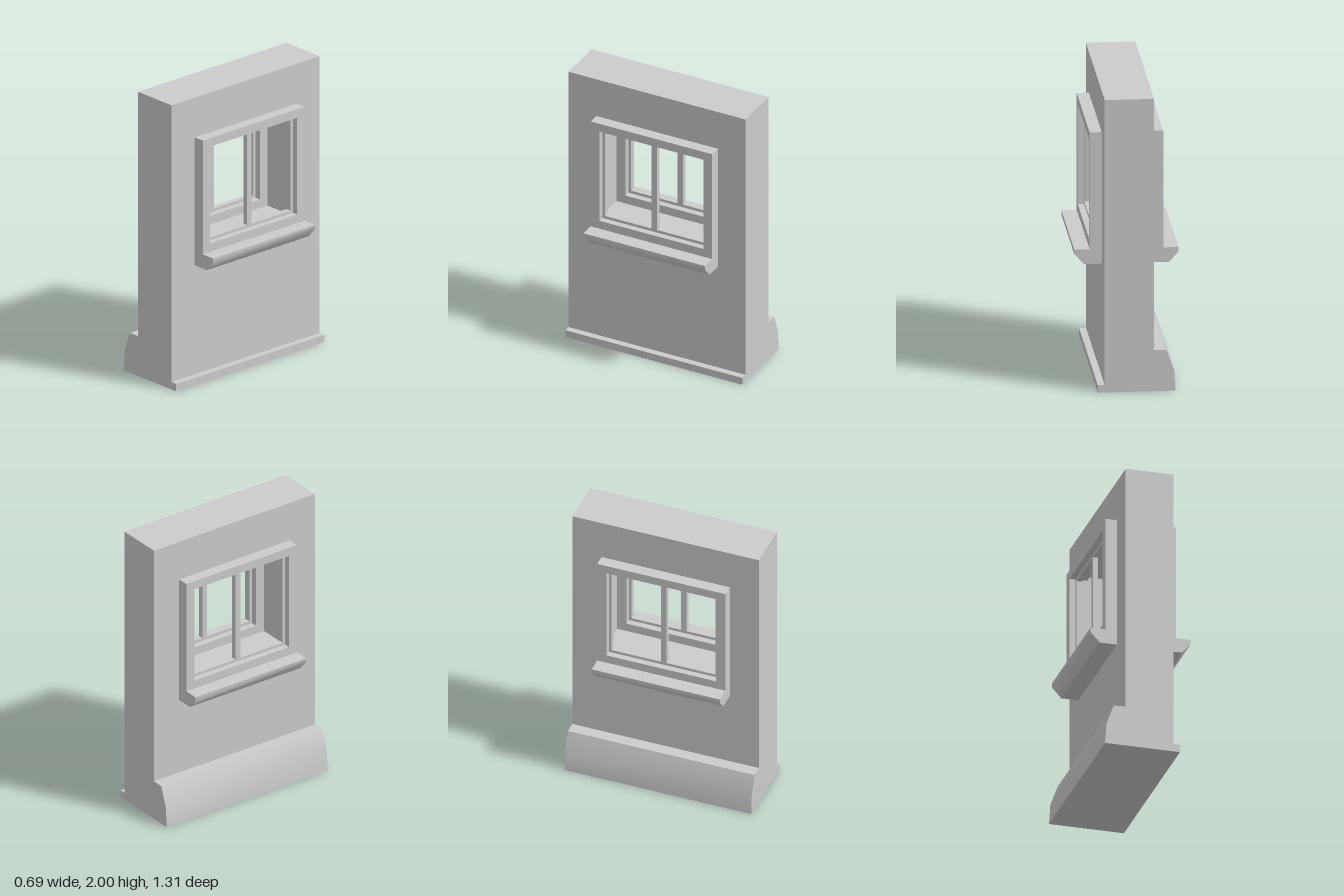
import * as THREE from 'three';
import { toCreasedNormals } from 'three/addons/utils/BufferGeometryUtils.js';

const material = new THREE.MeshStandardMaterial({ color: 0xcccccc });
const WALL_X = 0.1625, WALL_Z = 0.655;

function addMesh(parent, name, geometry) {
  const mesh = new THREE.Mesh(geometry, material);
  mesh.name = name;
  parent.add(mesh);
  return mesh;
}

function rectPoints([z0, z1, y0, y1]) {
  return [[z0, y0], [z1, y0], [z1, y1], [z0, y1]].map(([a, b]) => new THREE.Vector2(a, b));
}

// Upright panel facing x, from x0 to x1, with rectangular holes [z0, z1, y0, y1]
function panel(outer, holes, x0, x1) {
  const shape = new THREE.Shape(rectPoints(outer));
  holes.forEach((h) => shape.holes.push(new THREE.Path(rectPoints(h))));
  return new THREE.ExtrudeGeometry(shape, { depth: x1 - x0, bevelEnabled: false })
    .rotateY(Math.PI / 2)
    .translate(x0, 0, 0);
}

// Moulding with an x-y profile running along z
function moulding(points, halfLength, crease) {
  const shape = new THREE.Shape(points.map(([x, y]) => new THREE.Vector2(x, y)));
  const geometry = new THREE.ExtrudeGeometry(shape, { depth: 2 * halfLength, bevelEnabled: false })
    .translate(0, 0, -halfLength);
  return toCreasedNormals(geometry, crease);
}

// Casing, two-pane sash and sill on the +x face
function createWindow(name) {
  const win = new THREE.Group();
  win.name = name;
  addMesh(win, 'casing', panel([-0.45, 0.45, 0.92, 1.72], [[-0.385, 0.385, 0.98, 1.66]], 0.122, 0.242));
  addMesh(win, 'sash', panel(
    [-0.385, 0.385, 0.98, 1.66],
    [[-0.365, -0.02, 1.0, 1.64], [0.02, 0.365, 1.0, 1.64]],
    0.165, 0.2));
  addMesh(win, 'sill', moulding(
    [[WALL_X, 0.82], [0.28, 0.82], [0.343, 0.89], [0.343, 0.92], [WALL_X, 0.92]], 0.45, 0.8));
  return win;
}

export function createModel() {
  const model = new THREE.Group();
  model.name = 'wallWithWindow';

  // Wall with a through opening
  addMesh(model, 'wall', panel([-WALL_Z, WALL_Z, 0, 2], [[-0.45, 0.45, 0.92, 1.72]], -WALL_X, WALL_X));

  // Matching windows on both faces
  model.add(createWindow('leftWindow'));
  const rightWindow = createWindow('rightWindow');
  rightWindow.rotation.y = Math.PI;
  model.add(rightWindow);

  // Sloped plinth on one face, low skirting on the other
  addMesh(model, 'plinth', moulding(
    [[-WALL_X, 0], [-WALL_X, 0.28], [-0.243, 0.28], [-0.294, 0.14], [-0.303, 0]], WALL_Z, 0.6));
  addMesh(model, 'skirting', moulding(
    [[WALL_X, 0], [0.208, 0], [0.208, 0.052], [WALL_X, 0.052]], WALL_Z, 0.6));

  return model;
}
